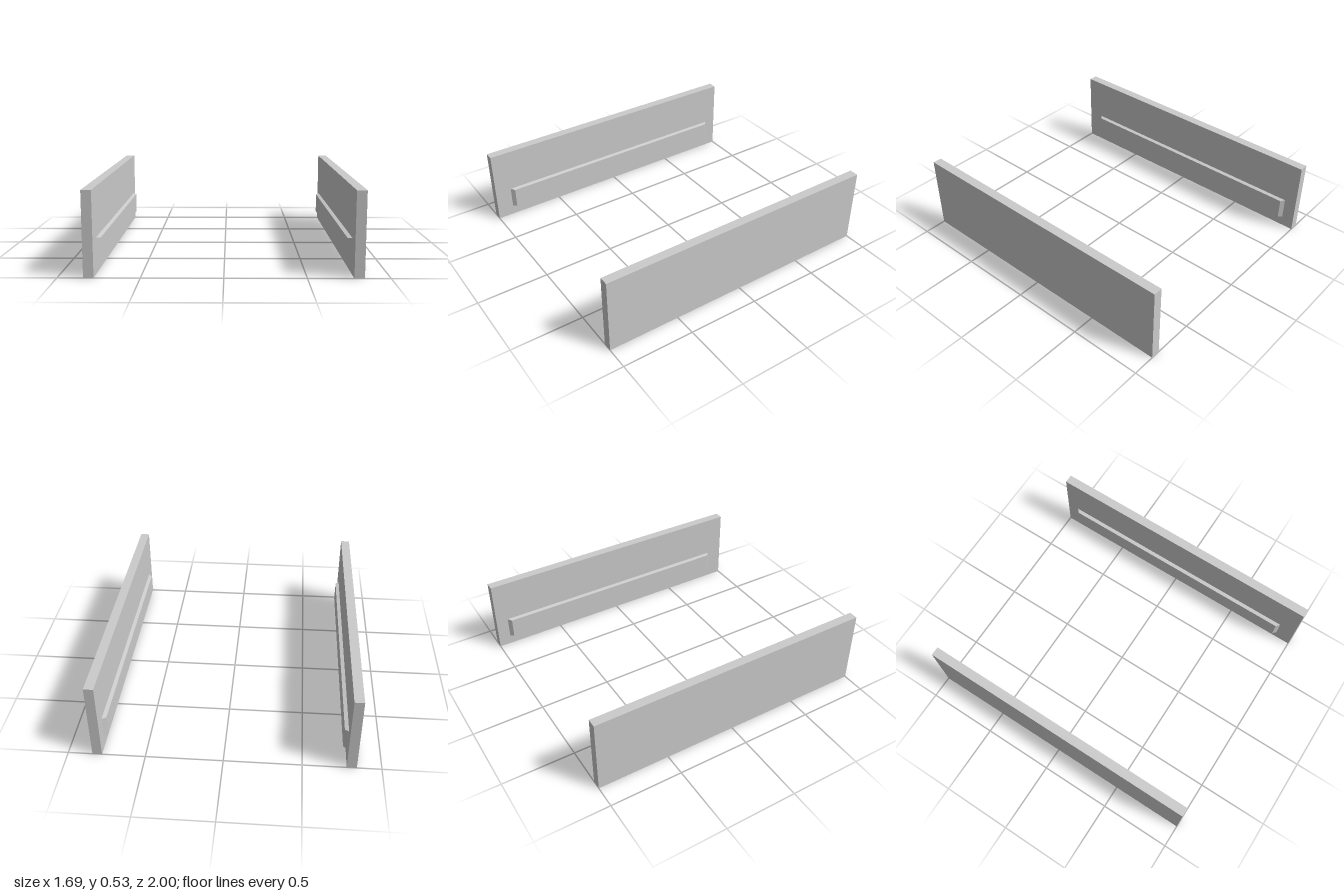
import * as THREE from 'three';

const HEIGHT = 0.533, INNER = 0.78, OUTER = 0.843;

// Box whose +x face is shrunk by a bevel in y and z
function bevelledRail(depth, height, length, bevelY, bevelZ) {
  const geometry = new THREE.BoxGeometry(depth, height, length);
  const p = geometry.attributes.position;
  for (let i = 0; i < p.count; i++) {
    if (p.getX(i) > 0) {
      p.setY(i, p.getY(i) - Math.sign(p.getY(i)) * bevelY);
      p.setZ(i, p.getZ(i) - Math.sign(p.getZ(i)) * bevelZ);
    }
  }
  geometry.computeVertexNormals();
  return geometry;
}

export function createModel() {
  const model = new THREE.Group();
  model.name = 'sidePanels';
  const material = new THREE.MeshStandardMaterial({ color: 0xcccccc, flatShading: true });

  const panelGeometry = new THREE.BoxGeometry(OUTER - INNER, HEIGHT, 2);
  const railGeometry = bevelledRail(0.025, 0.153, 1.795, 0.006, 0.023);

  for (const [label, side] of [['left', 1], ['right', -1]]) {
    // Upright side panel
    const panel = new THREE.Mesh(panelGeometry, material);
    panel.name = label + 'Panel';
    panel.position.set(side * (INNER + OUTER) / 2, HEIGHT / 2, 0);

    // Raised rail on the inner face, bevelled side towards the middle
    const rail = new THREE.Mesh(railGeometry, material);
    rail.name = label + 'Rail';
    rail.position.set(side * (INNER - 0.0125), 0.147, -0.015);
    if (side > 0) rail.rotation.y = Math.PI;

    model.add(panel, rail);
  }
  return model;
}
